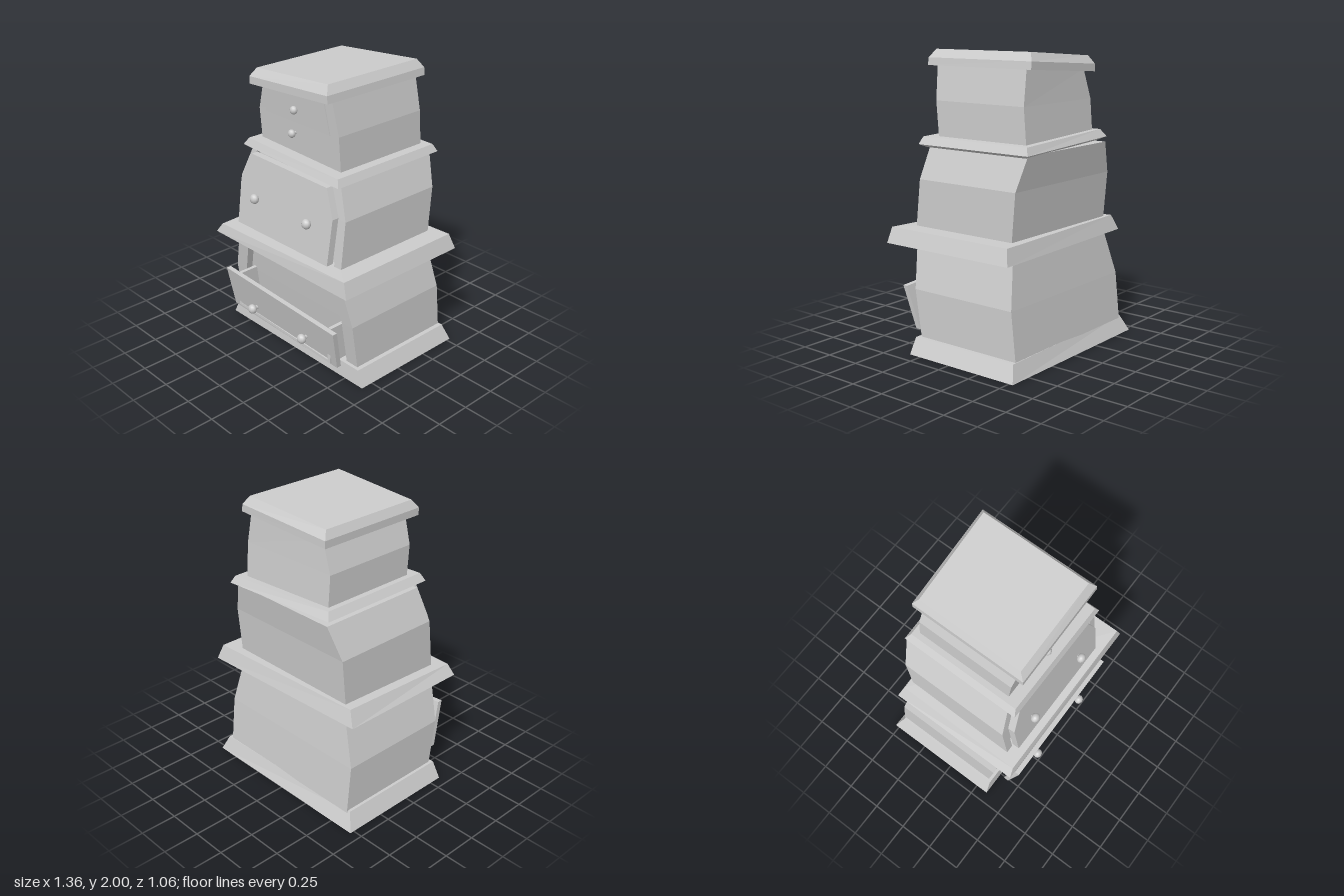
import * as THREE from 'three';

const mat = new THREE.MeshStandardMaterial({ color: 0xcccccc, flatShading: true, side: THREE.DoubleSide });
const smooth = new THREE.MeshStandardMaterial({ color: 0xcccccc });

// Skin a stack of equal-length rings (lowest first, counter-clockwise from above)
function loft(name, rings) {
  const n = rings[0].length, pos = rings.flat(2), idx = [];
  for (let r = 0; r < rings.length - 1; r++) {
    for (let i = 0; i < n; i++) {
      const a = r * n + i, b = r * n + (i + 1) % n;
      idx.push(a, b, b + n, a, b + n, a + n);
    }
  }
  const cap = (ring) => THREE.ShapeUtils.triangulateShape(ring.map(p => new THREE.Vector2(p[0], -p[2])), []);
  const top = (rings.length - 1) * n;
  cap(rings[0]).forEach(([a, b, c]) => idx.push(c, b, a));
  cap(rings[rings.length - 1]).forEach(([a, b, c]) => idx.push(a + top, b + top, c + top));
  const g = new THREE.BufferGeometry();
  g.setAttribute('position', new THREE.Float32BufferAttribute(pos, 3));
  g.setIndex(idx);
  const flat = g.toNonIndexed();
  flat.computeVertexNormals();
  const m = new THREE.Mesh(flat, mat);
  m.name = name;
  return m;
}

// Crooked four-corner ring: back edge and height may differ from left to right
const quad = (x0, x1, zbl, zbr, zf, yl, yr, yfl = yl) =>
  [[x0, yl, zbl], [x0, yfl, zf], [x1, yr, zf], [x1, yr, zbr]];

// Body ring with a shallow recess in the front, between ox0 and ox1
const niche = (y, x0, x1, zb, zf, ox0, ox1, d) => [
  [x0, y, zb], [x0, y, zf], [ox0, y, zf], [ox0, y, zf - d],
  [ox1, y, zf - d], [ox1, y, zf], [x1, y, zf], [x1, y, zb]];

// Flat panel leaning along z: front face at z = z0 + slope * y
function panel(name, pts, thick, z0, slope) {
  const shape = new THREE.Shape(pts.map(p => new THREE.Vector2(...p)));
  const g = new THREE.ExtrudeGeometry(shape, { depth: thick, bevelEnabled: false });
  const p = g.attributes.position;
  for (let i = 0; i < p.count; i++) p.setZ(i, p.getZ(i) - thick + z0 + slope * p.getY(i));
  g.computeVertexNormals();
  const m = new THREE.Mesh(g, mat);
  m.name = name;
  return m;
}

function knob(name, x, y, z, r) {
  const group = new THREE.Group();
  const ball = new THREE.Mesh(new THREE.SphereGeometry(r, 12, 8), smooth);
  ball.scale.z = 0.85;
  const stem = new THREE.Mesh(new THREE.CylinderGeometry(r * 0.4, r * 0.4, r * 1.6, 8), smooth);
  stem.rotation.x = Math.PI / 2;
  stem.position.z = -r * 0.8;
  group.add(ball, stem);
  group.position.set(x, y, z);
  group.name = name;
  return group;
}

function box(name, w, h, d, x, y, z) {
  const m = new THREE.Mesh(new THREE.BoxGeometry(w, h, d), mat);
  m.position.set(x, y, z);
  m.name = name;
  return m;
}

export function createModel() {
  const model = new THREE.Group();
  model.name = 'crookedDresser';

  // Plinth and lower body
  model.add(loft('plinth', [
    quad(-0.68, 0.66, -0.53, -0.53, 0.34, 0, 0),
    quad(-0.625, 0.61, -0.48, -0.495, 0.33, 0.115, 0.11)]));
  model.add(loft('lowerBody', [
    niche(0.10, -0.605, 0.58, -0.49, 0.305, -0.5, 0.48, 0.05),
    niche(0.43, -0.605, 0.58, -0.455, 0.355, -0.5, 0.48, 0.05),
    niche(0.75, -0.505, 0.505, -0.41, 0.40, -0.4, 0.41, 0.05)]));

  // Open lower drawer, hanging slightly askew
  const drawer = new THREE.Group();
  drawer.name = 'lowerDrawer';
  drawer.add(panel('drawerFront', [[-0.54, 0.165], [0.51, 0.125], [0.55, 0.425], [-0.52, 0.49]], 0.035, 0.392, 0.25));
  const tray = new THREE.Group();
  tray.name = 'drawerTray';
  tray.add(box('drawerFloor', 0.94, 0.02, 0.22, 0, -0.12, 0));
  for (const s of [-1, 1]) tray.add(box('drawerSide', 0.025, 0.27, 0.22, s * 0.46, 0.005, 0));
  tray.position.set(0, 0.295, 0.335);
  tray.rotation.z = -0.04;
  drawer.add(tray);
  for (const x of [-0.265, 0.25]) drawer.add(knob('drawerKnob', x, 0.26, 0.5, 0.034));
  model.add(drawer);

  // Wide ledge
  model.add(loft('lowerLedge', [
    quad(-0.62, 0.68, -0.46, -0.505, 0.51, 0.74, 0.74),
    quad(-0.57, 0.645, -0.43, -0.475, 0.495, 0.845, 0.845, 0.81)]));

  // Middle body and its protruding front
  model.add(loft('middleBody', [
    niche(0.81, -0.505, 0.515, -0.405, 0.40, -0.45, 0.45, 0.04),
    niche(1.16, -0.505, 0.515, -0.435, 0.36, -0.45, 0.465, 0.04),
    niche(1.38, -0.41, 0.44, -0.475, 0.33, -0.36, 0.385, 0.04)]));
  model.add(panel('middleDrawerFront',
    [[-0.445, 0.855], [0.443, 0.86], [0.452, 1.17], [0.375, 1.355], [-0.355, 1.365], [-0.445, 1.16]],
    0.05, 0.56, -0.128));
  for (const x of [-0.265, 0.25]) model.add(knob('middleKnob', x, 1.085, 0.448, 0.034));

  // Tilted thin ledge
  model.add(loft('upperLedge', [
    quad(-0.36, 0.445, -0.43, -0.465, 0.355, 1.39, 1.365),
    quad(-0.425, 0.485, -0.475, -0.505, 0.395, 1.415, 1.385),
    quad(-0.39, 0.46, -0.445, -0.48, 0.375, 1.465, 1.435)]));

  // Top body with a fitted small drawer
  model.add(loft('topBody', [
    quad(-0.35, 0.40, -0.41, -0.43, 0.29, 1.42, 1.42),
    quad(-0.35, 0.40, -0.39, -0.41, 0.31, 1.67, 1.67),
    quad(-0.28, 0.36, -0.38, -0.40, 0.33, 1.87, 1.9)]));
  model.add(panel('topDrawerFront',
    [[-0.285, 1.665], [0.325, 1.66], [0.295, 1.865], [-0.225, 1.84]], 0.02, 0.156, 0.096));
  model.add(knob('topKnob', 0.025, 1.755, 0.342, 0.027));
  model.add(knob('topKnob', -0.005, 1.59, 0.335, 0.027));

  // Tilted bevelled lid
  model.add(loft('lid', [
    quad(-0.345, 0.388, -0.425, -0.455, 0.39, 1.85, 1.895),
    quad(-0.345, 0.382, -0.425, -0.455, 0.39, 1.9, 1.945),
    quad(-0.315, 0.347, -0.39, -0.42, 0.35, 1.955, 2.0)]));

  return model;
}
